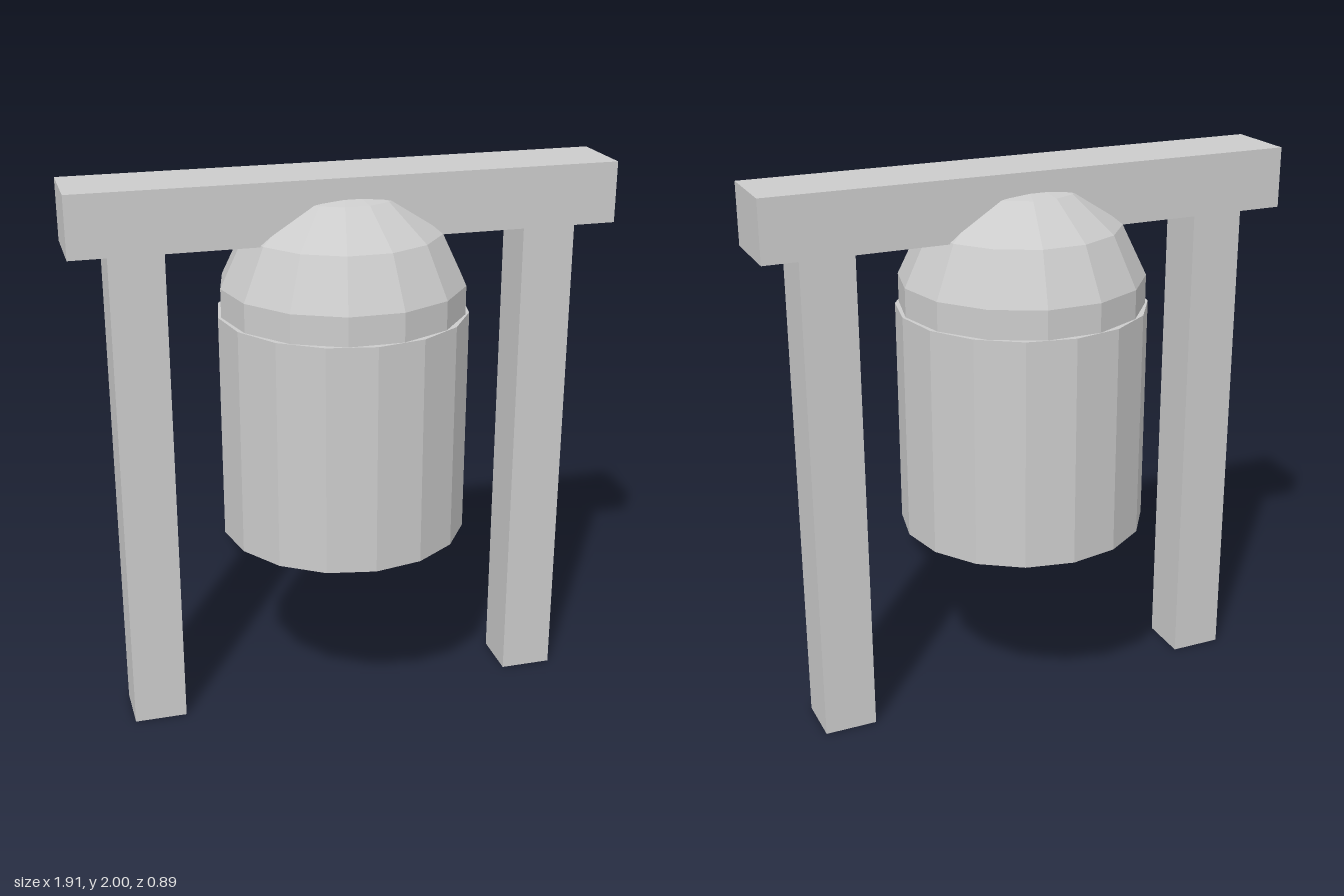
import * as THREE from 'three';

const material = new THREE.MeshStandardMaterial({ color: 0xcccccc, flatShading: true });

export function createModel() {
  const model = new THREE.Group();
  model.name = 'hangingBellFrame';

  const add = (name, geometry, x, y) => {
    const mesh = new THREE.Mesh(geometry, material);
    mesh.name = name;
    mesh.position.set(x, y, 0);
    model.add(mesh);
  };

  // Frame: two square posts carrying a crossbeam
  for (const [name, side] of [['leftPost', 1], ['rightPost', -1]]) {
    add(name, new THREE.BoxGeometry(0.19, 1.785, 0.19), side * 0.727, 0.8925);
  }
  add('crossbeam', new THREE.BoxGeometry(1.91, 0.215, 0.27), 0, 1.8925);

  // Bell: faceted drum with a rounded crown sunk into its top
  add('bellBody', new THREE.CylinderGeometry(0.445, 0.445, 0.82, 16), 0, 1.1);
  add('bellCrown', new THREE.SphereGeometry(0.445, 14, 7), 0, 1.513);

  // Clapper: small ball showing below the drum
  add('clapper', new THREE.SphereGeometry(0.127, 8, 4), 0, 0.749);

  return model;
}
